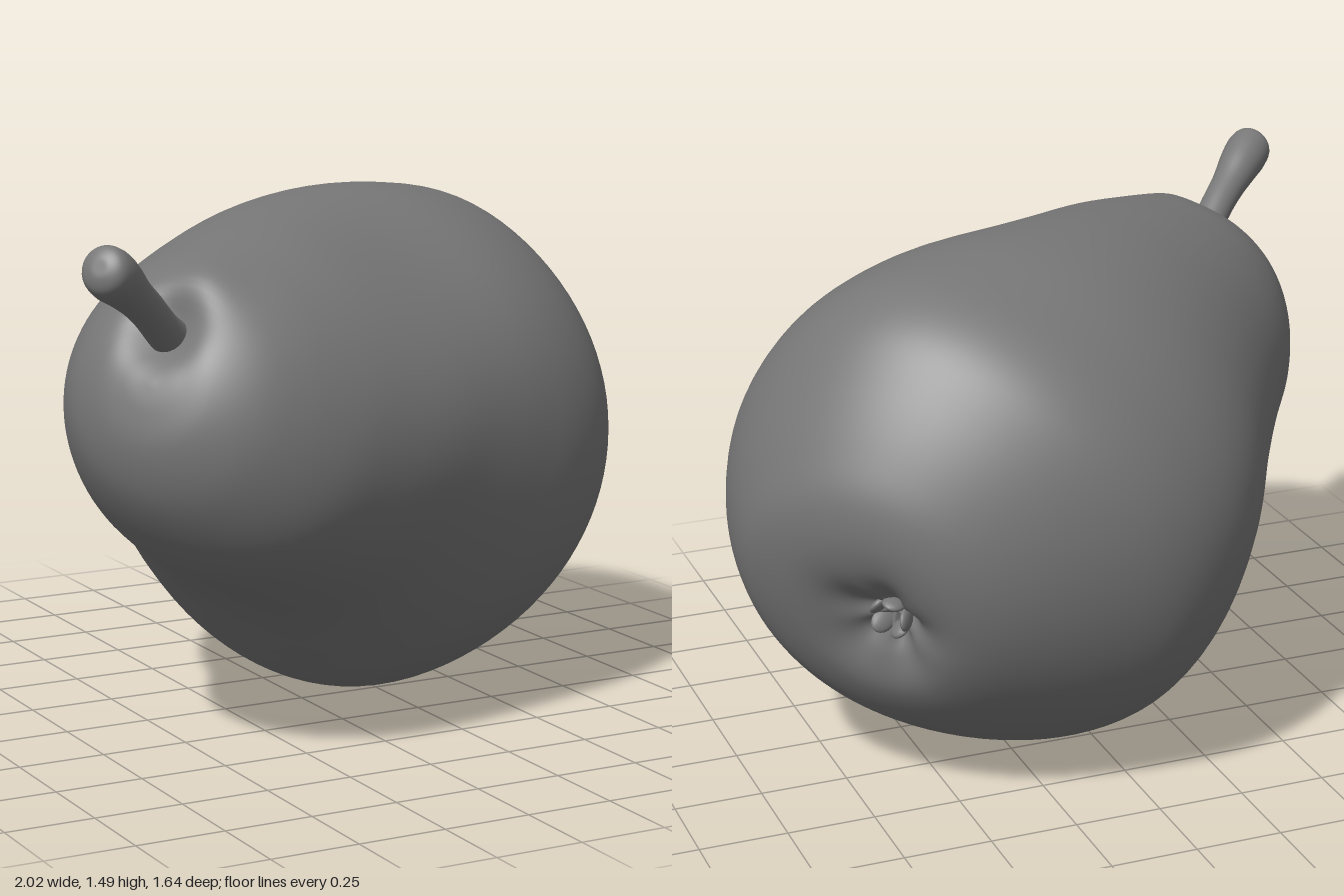
import * as THREE from 'three';
import { mergeVertices } from 'three/addons/utils/BufferGeometryUtils.js';

const material = new THREE.MeshStandardMaterial({ color: 0x777777 });
const bell = (x, y, z, w) => Math.exp(-(x * x + y * y + z * z) / (w * w));

// Lathe around y from rows of [height, radius, z offset, x offset], then an optional rule per vertex.
function bentLathe(name, rows, steps, sides, rule) {
  const curve = (k) => new THREE.CatmullRomCurve3(
    rows.map((r) => new THREE.Vector3(r[0], r[1], r[k] || 0)), false, 'centripetal');
  const path = curve(2).getPoints(steps);
  const drift = curve(3).getPoints(steps);
  const profile = path.map((p, i) =>
    new THREE.Vector2(i === 0 || i === steps ? 0 : Math.max(p.y, 0.001), p.x));
  let geo = new THREE.LatheGeometry(profile, sides);
  const pos = geo.attributes.position;
  const v = new THREE.Vector3();
  for (let i = 0; i < pos.count; i++) {
    const j = i % profile.length;
    v.fromBufferAttribute(pos, i);
    v.z += path[j].z;
    v.x += drift[j].z;
    if (rule) rule(v);
    pos.setXYZ(i, v.x, v.y, v.z);
  }
  geo.deleteAttribute('uv');
  geo.deleteAttribute('normal');
  geo = mergeVertices(geo, 1e-5);
  geo.computeVertexNormals();
  const mesh = new THREE.Mesh(geo, material);
  mesh.name = name;
  return mesh;
}

export function createModel() {
  const model = new THREE.Group();
  model.name = 'pear';

  // Tilted frame: y runs from the blossom end to the stem, z is the fruit's upper side
  const fruit = new THREE.Group();
  fruit.name = 'fruit';
  const axis = new THREE.Vector3(-0.77, 0.319, 0.552).normalize();
  const side = new THREE.Vector3(-0.583, 0, -0.813).normalize();
  side.addScaledVector(axis, -side.dot(axis)).normalize();
  const upper = new THREE.Vector3().crossVectors(side, axis);
  fruit.quaternion.setFromRotationMatrix(new THREE.Matrix4().makeBasis(side, axis, upper));
  fruit.position.set(0.79, 0.58, -0.52);
  model.add(fruit);

  // Body with a sunken blossom end and a drooping neck
  const bodyRows = [
    [0.01, 0, -0.02, 0.05], [0.005, 0.035, -0.02, 0.05], [-0.015, 0.07, -0.02, 0.05],
    [-0.045, 0.12, -0.02, 0.04], [-0.066, 0.19, -0.02, 0.03], [-0.062, 0.27, -0.01, 0.02],
    [-0.02, 0.38, -0.01], [0.07, 0.49, -0.02], [0.2, 0.595, -0.03], [0.37, 0.685, -0.04],
    [0.55, 0.725, -0.05], [0.75, 0.725, -0.062], [0.95, 0.682, -0.055], [1.2, 0.594, -0.052],
    [1.45, 0.503, -0.078], [1.65, 0.43, -0.112], [1.79, 0.355, -0.12], [1.885, 0.275, -0.125],
    [1.95, 0.17, -0.13], [1.97, 0.08, -0.13], [1.975, 0, -0.13],
  ];
  // Soft swellings and hollows: x, y, z, width, push in x, push in z
  const lumps = [
    [-0.35, 1.2, 0.42, 0.33, 0.028, -0.033],
    [-0.25, 1.5, -0.42, 0.42, -0.045, -0.065],
    [-0.1, 0.5, 0.62, 0.35, 0, 0.035],
    [0, 0.45, -0.75, 0.4, 0, -0.038],
    [0.7, 0.9, 0, 0.35, 0.03, 0],
    [-0.58, 1.3, -0.05, 0.35, -0.04, 0],
    [0.5, 0.35, -0.4, 0.35, 0.02, -0.02],
  ];
  fruit.add(bentLathe('body', bodyRows, 120, 96, (v) => {
    for (const [x, y, z, width, pushX, pushZ] of lumps) {
      const amount = bell(v.x - x, v.y - y, v.z - z, width);
      v.x += pushX * amount;
      v.z += pushZ * amount;
    }
    // Stem socket with a raised lip above it
    v.y -= 0.115 * bell(v.x, v.y - 1.9, v.z, 0.09);
    const lip = bell(v.x + 0.06, v.y - 1.84, v.z - 0.14, 0.09);
    v.y += 0.012 * lip;
    v.z += 0.015 * lip;
    // Creases around the blossom end
    const dx = v.x - 0.05, dz = v.z + 0.02;
    v.y += 0.012 * Math.sin(5 * Math.atan2(dx, dz)) * bell(dx, v.y, dz, 0.15)
      * Math.min(1, Math.hypot(dx, dz) / 0.06);
    // Slanted blossom end
    v.y += (0.095 + 0.12 * v.x) * (1 - THREE.MathUtils.smoothstep(v.y, 0, 0.8));
  }));

  // Stem, slightly curved, with a knobbed tip
  fruit.add(bentLathe('stem', [
    [1.72, 0, -0.02], [1.73, 0.058, -0.02], [1.83, 0.058, -0.015], [1.93, 0.052, 0.006],
    [2.04, 0.051, 0.04, -0.005], [2.13, 0.054, 0.06, -0.01], [2.21, 0.064, 0.077, -0.015],
    [2.28, 0.069, 0.085, -0.02], [2.32, 0.06, 0.09, -0.02], [2.338, 0.03, 0.09, -0.02],
    [2.34, 0, 0.09, -0.02],
  ], 50, 28));

  // Dried sepals huddled in the blossom end
  const calyx = new THREE.Group();
  calyx.name = 'calyx';
  calyx.position.set(0.05, 0.09, -0.02);
  for (let i = 0; i < 5; i++) {
    const sepal = new THREE.Mesh(new THREE.SphereGeometry(1, 14, 10), material);
    sepal.name = 'sepal';
    const a = (i / 5) * Math.PI * 2 + 0.3;
    sepal.scale.set(0.032, 0.034 + 0.008 * (i % 2), 0.014);
    sepal.position.set(Math.sin(a) * 0.045, 0, Math.cos(a) * 0.045);
    sepal.rotation.set(-0.3, a, 0, 'YXZ');
    calyx.add(sepal);
  }
  fruit.add(calyx);

  return model;
}
